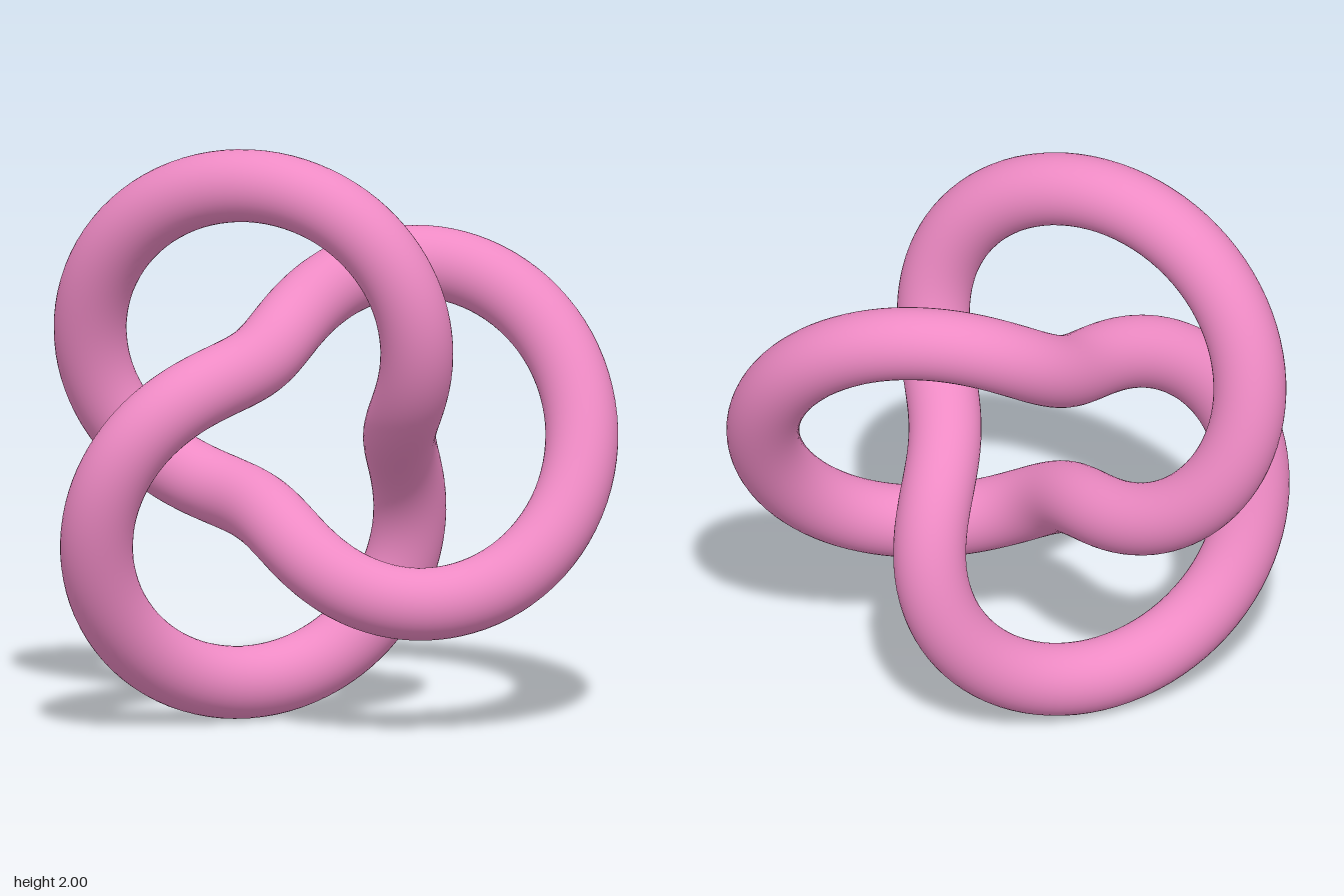
import * as THREE from 'three';

export function createModel() {
  const group = new THREE.Group();
  group.name = 'trefoilKnot';

  // Smooth closed tube; the negative winding gives the mirrored crossing order
  const radius = 0.6195, tube = 0.124;
  const knot = new THREE.Mesh(
    new THREE.TorusKnotGeometry(radius, tube, 300, 40, 2, -3),
    new THREE.MeshStandardMaterial({ color: 0xee8ac4 })
  );
  knot.name = 'knotTube';

  // The three lobes reach further to +x, so shift the knot to centre its bounds
  knot.position.set(-0.098, 1, 0);
  group.add(knot);
  return group;
}
